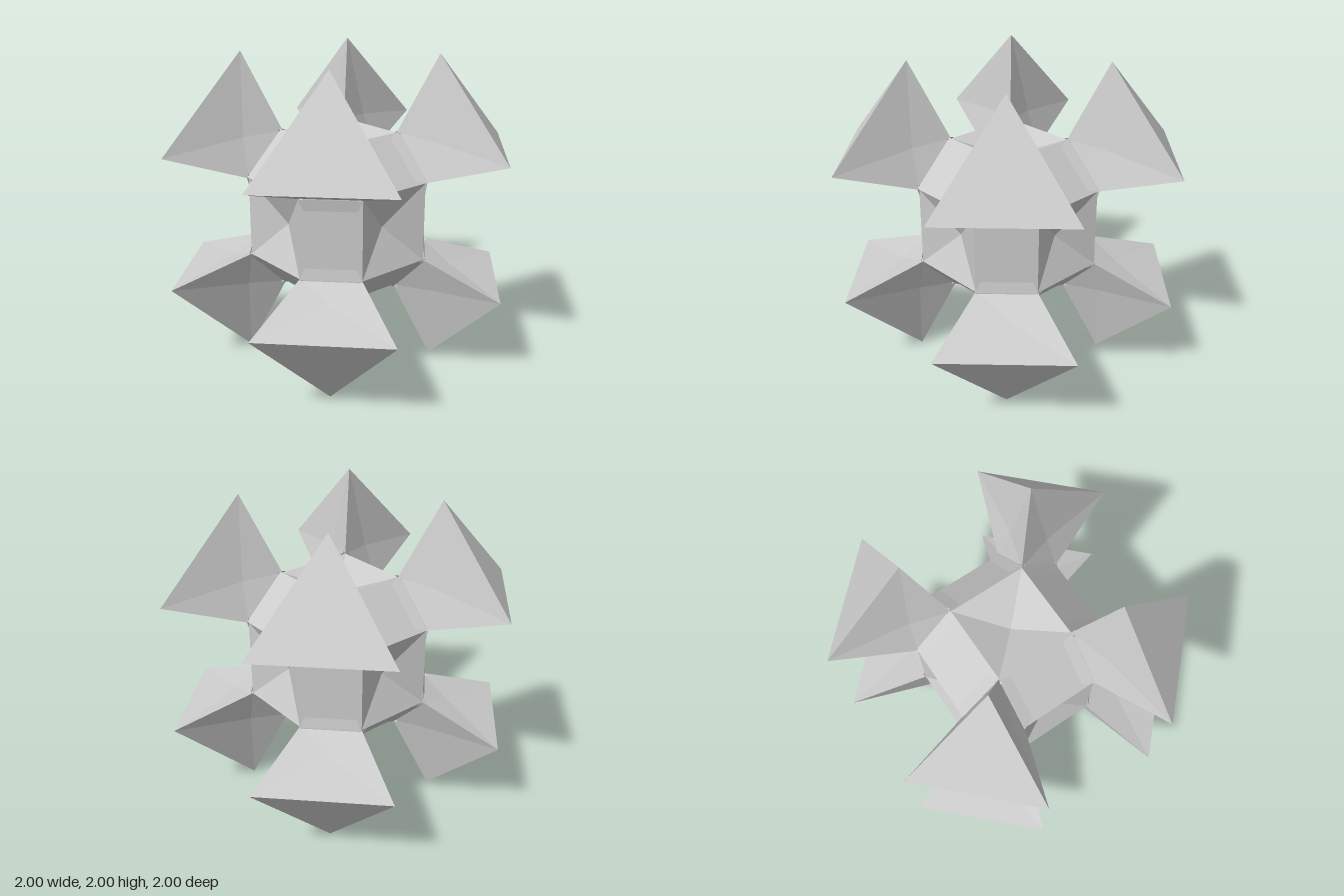
import * as THREE from 'three';

const V = (x, y, z) => new THREE.Vector3(x, y, z);
const S = 0.25;   // half side of the square panels
const E = 0.512;  // distance of the panels from the centre
const material = new THREE.MeshStandardMaterial({ color: 0xcccccc, flatShading: true, side: THREE.DoubleSide });

// Flat-shaded geometry from a list of triangles
function fromTriangles(tris) {
  const g = new THREE.BufferGeometry().setFromPoints(tris.flat());
  g.computeVertexNormals();
  return g;
}
const quad = (a, b, c, d) => [[a, b, c], [a, c, d]];

// Square panel dented to a point, facing +z
function panelGeometry() {
  const c = [V(-S, -S, E), V(S, -S, E), V(S, S, E), V(-S, S, E)];
  return fromTriangles(c.map((p, i) => [p, c[(i + 1) % 4], V(0, 0, E - 0.11)]));
}

// Chamfer strip between the front and top panels, with slightly flared ends
function stripGeometry() {
  const at = (x, t, h) => {
    const k = h * Math.SQRT1_2;
    return V(x, S + (E - S) * t + k, E - (E - S) * t + k);
  };
  const L = 0.28;
  const tris = quad(at(-L, 0, 0), at(L, 0, 0), at(L, 1, 0), at(-L, 1, 0));
  for (const s of [-1, 1]) {
    const inner = [at(s * 0.18, 0.08, 0.001), at(s * 0.18, 0.92, 0.001)];
    const lip = [at(s * 0.25, 0, 0.011), at(s * 0.25, 1, 0.011)];
    const end = [at(s * L, 0, 0.011), at(s * L, 1, 0.011)];
    for (const [p, q] of [[inner, lip], [lip, end]]) {
      tris.push(...(s > 0 ? quad(p[0], q[0], q[1], p[1]) : quad(p[0], p[1], q[1], q[0])));
    }
  }
  return fromTriangles(tris);
}

// Corner spike: outer triangle with three creased sides running in to the core
function spikeGeometry() {
  const A = 0.425;
  const tips = [V(1, A, A), V(A, 1, A), V(A, A, 1)];
  const roots = [V(E, S, S), V(S, E, S), V(S, S, E)];
  const creases = [V(0.33, 0.49, 0.49), V(0.49, 0.33, 0.49), V(0.49, 0.49, 0.33)];
  const tris = [tips];
  for (let i = 0; i < 3; i++) {
    const j = (i + 2) % 3;
    const n = creases[(i + 1) % 3];
    tris.push([tips[i], tips[j], n], [tips[j], roots[j], n], [roots[j], roots[i], n], [roots[i], tips[i], n]);
  }
  return fromTriangles(tris);
}

export function createModel() {
  const model = new THREE.Group();
  model.name = 'spikedStar';
  const body = new THREE.Group();
  body.name = 'body';
  body.position.y = 1;
  model.add(body);

  const axisX = V(1, 0, 0);
  const axisY = V(0, 1, 0);
  const diagonal = V(1, 1, 1).normalize();
  const turn = (axis, angle) => new THREE.Quaternion().setFromAxisAngle(axis, angle);
  const add = (name, geometry, rotation) => {
    const mesh = new THREE.Mesh(geometry, material);
    mesh.name = name;
    mesh.quaternion.copy(rotation);
    body.add(mesh);
  };

  const panel = panelGeometry();
  const strip = stripGeometry();
  const spike = spikeGeometry();

  // Panels and strips repeat on all three axes
  for (let a = 0; a < 3; a++) {
    const toAxis = turn(diagonal, a * Math.PI * 2 / 3);
    for (let k = 0; k < 2; k++) add('dentedPanel', panel, toAxis.clone().multiply(turn(axisX, k * Math.PI)));
    for (let k = 0; k < 4; k++) add('chamferStrip', strip, toAxis.clone().multiply(turn(axisX, k * Math.PI / 2)));
  }

  // Eight corner spikes
  for (let flip = 0; flip < 2; flip++) {
    for (let k = 0; k < 4; k++) {
      add('cornerSpike', spike, turn(axisY, k * Math.PI / 2).multiply(turn(axisX, flip * Math.PI)));
    }
  }
  return model;
}
